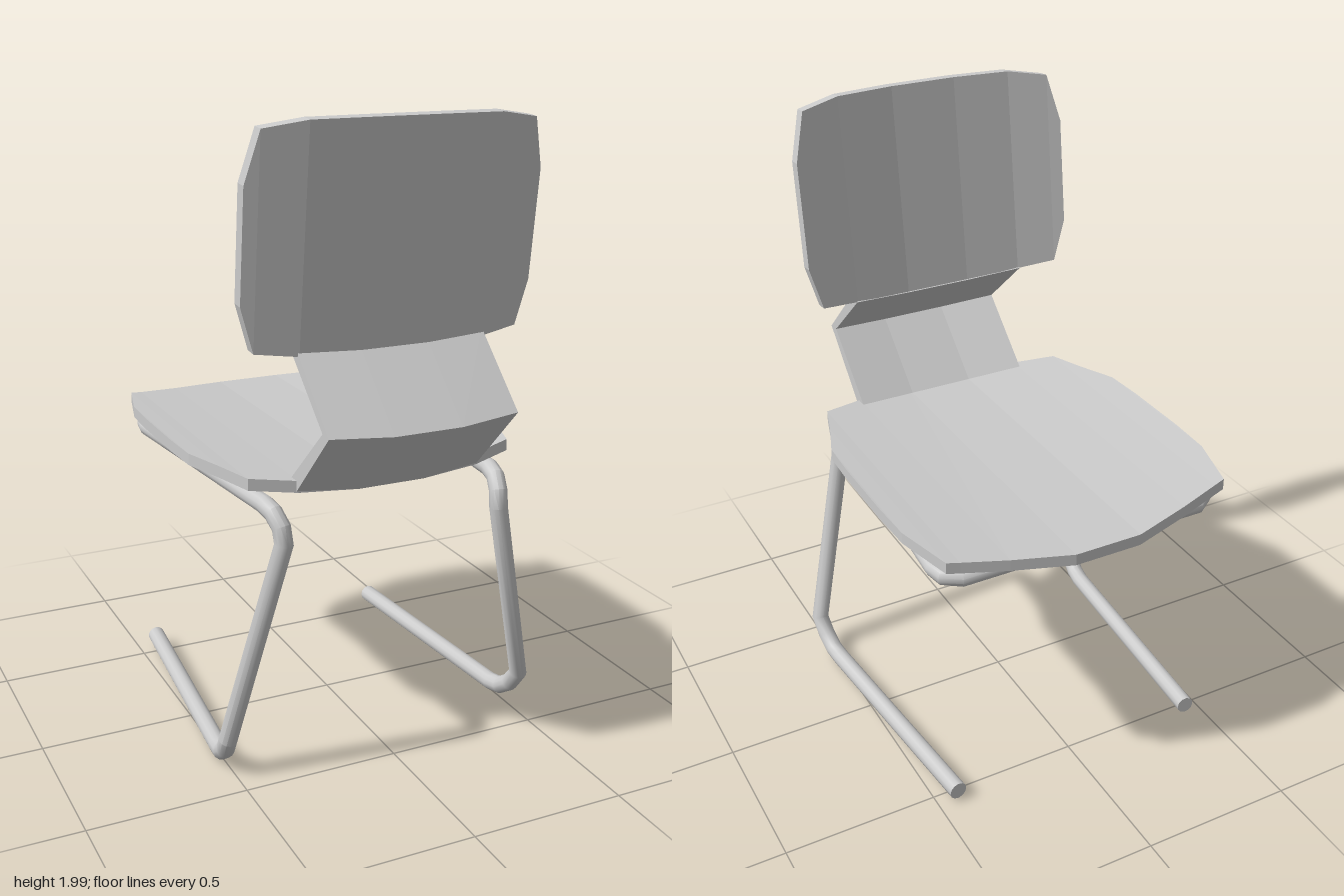
import * as THREE from 'three';
import { toCreasedNormals } from 'three/addons/utils/BufferGeometryUtils.js';

// Skins a row of equal cross-sections (even point count) and closes both ends.
function loft(rings) {
  const n = rings[0].length;
  const index = [];
  const quad = (a, b, c, d) => index.push(a, b, d, b, c, d);
  for (let i = 0; i < rings.length - 1; i++) {
    for (let j = 0; j < n; j++) {
      const k = (j + 1) % n;
      quad(i * n + j, i * n + k, (i + 1) * n + k, (i + 1) * n + j);
    }
  }
  const end = (rings.length - 1) * n;
  for (let k = 0; k < n / 2 - 1; k++) {
    quad(n - 1 - k, n - 2 - k, k + 1, k);
    quad(end + k, end + k + 1, end + n - 2 - k, end + n - 1 - k);
  }
  const geo = new THREE.BufferGeometry();
  geo.setAttribute('position', new THREE.Float32BufferAttribute(rings.flat(2), 3));
  geo.setIndex(index);
  const flat = geo.toNonIndexed();
  flat.computeVertexNormals();
  return flat;
}

// Stations given for +x only, repeated on -x, in order of rising x.
const mirrored = (half) => [...half.map(([x, ...r]) => [-x, ...r]).reverse(), ...half];

// Round bar of constant radius through a list of points.
function bar(points, radius, sides = 12) {
  const p = points.map((q) => new THREE.Vector3(...q));
  const u = new THREE.Vector3(0, 1, 0);
  const rings = p.map((c, i) => {
    const before = c.clone().sub(p[Math.max(i - 1, 0)]).normalize();
    const after = p[Math.min(i + 1, p.length - 1)].clone().sub(c).normalize();
    const t = before.add(after).normalize();
    u.addScaledVector(t, -u.dot(t)).normalize();
    const v = t.clone().cross(u);
    return Array.from({ length: sides }, (_, s) => {
      const a = (s / sides) * Math.PI * 2;
      return c.clone().addScaledVector(u, radius * Math.cos(a))
        .addScaledVector(v, radius * Math.sin(a)).toArray();
    });
  });
  return toCreasedNormals(loft(rings), 0.65);
}

export function createModel() {
  const model = new THREE.Group();
  const add = (name, geometry, flatShading) => {
    const mesh = new THREE.Mesh(geometry, new THREE.MeshStandardMaterial({ color: 0xcccccc, flatShading }));
    mesh.name = name;
    model.add(mesh);
  };

  // Seat: x, front z, rear z, rise of the dished sides
  const seat = mirrored([
    [0.11, -0.69, 0.46, 0], [0.3, -0.64, 0.445, 0.012], [0.44, -0.6, 0.4, 0.025],
    [0.48, -0.59, 0.275, 0.03], [0.53, -0.4, 0.14, 0.036], [0.536, -0.25, 0.0, 0.037],
  ]).map(([x, z0, z1, rise]) => {
    const lo = 0.9 + rise, hi = lo + 0.037;
    return [[x, lo, z0], [x, hi, z0], [x, hi, z1], [x, lo, z1]];
  });
  add('seat', loft(seat), true);

  // Backrest: x, bottom y, top y, forward bend of the sides
  const back = mirrored([
    [0.11, 1.322, 2, 0], [0.3, 1.33, 1.998, 0.015],
    [0.43, 1.345, 1.977, 0.043], [0.47, 1.485, 1.825, 0.054],
  ]).map(([x, lo, hi, bend]) => {
    const z = (y) => 0.43 + 0.12 * (y - 1.32) - bend;
    return [[x, lo, z(lo)], [x, hi, z(hi)], [x, hi - 0.004, z(hi) + 0.042], [x, lo - 0.004, z(lo) + 0.042]];
  });
  add('backrest', loft(back), true);

  // Folded strip joining seat and backrest: y, z of inner side up, outer side down
  const fold = [[0.935, 0.425], [1.132, 0.643], [1.318, 0.432], [1.335, 0.468], [1.128, 0.685], [0.9, 0.46]];
  const strip = mirrored([[0.11, 0, 0], [0.305, 0.013, -0.02]])
    .map(([x, dy, dz]) => fold.map(([y, z]) => [x, y + dy, z + dz]));
  add('backSupport', loft(strip), true);

  // Bent tube frame: foot, rear bend, leg, upper bend, rail, front corner
  const half = [
    [0.435, 0.046, -0.55], [0.502, 0.034, 0.26], [0.508, 0.042, 0.31], [0.514, 0.075, 0.36],
    [0.52, 0.13, 0.4], [0.365, 0.775, 0.485], [0.368, 0.825, 0.475], [0.378, 0.86, 0.44],
    [0.386, 0.872, 0.39], [0.462, 0.872, -0.47], [0.455, 0.872, -0.52], [0.41, 0.872, -0.552],
  ];
  const frame = [...half, ...half.map(([x, y, z]) => [-x, y, z]).reverse()];
  add('tubeFrame', bar(frame, 0.029), false);

  return model;
}
